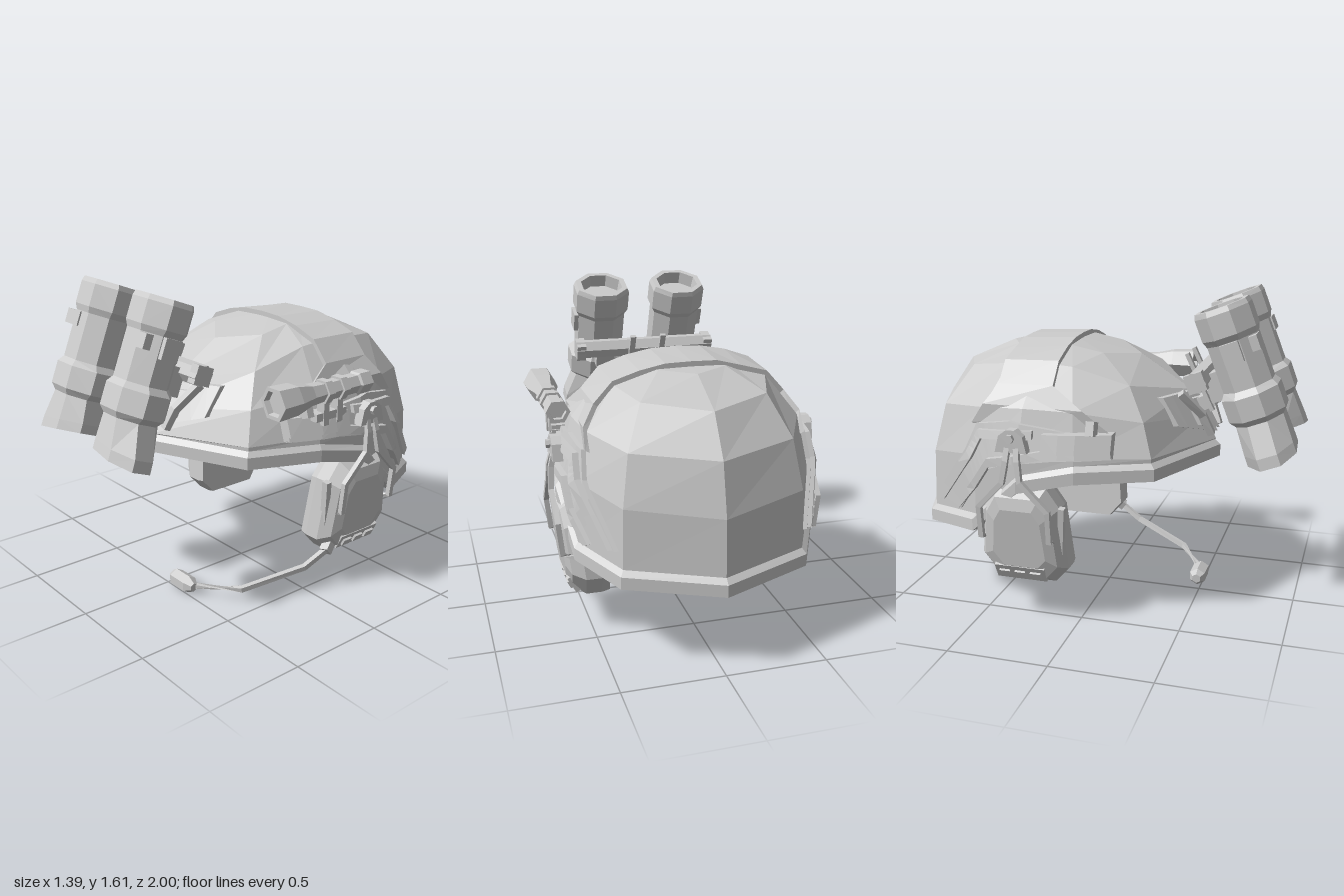
import * as THREE from 'three';

const V = (x, y, z) => new THREE.Vector3(x, y, z);
const mat = new THREE.MeshStandardMaterial({ color: 0xcccccc, flatShading: true, side: THREE.DoubleSide });

// Closed solid through equal-length rings, capped at both ends and oriented outward
function loft(rings) {
  const tris = [], n = rings[0].length;
  const mid = r => r.reduce((s, p) => s.add(p), V(0, 0, 0)).divideScalar(n);
  const first = rings[0], last = rings[rings.length - 1], c0 = mid(first), c1 = mid(last);
  for (let j = 0; j < n; j++) {
    const k = (j + 1) % n;
    tris.push([c0, first[k], first[j]], [c1, last[j], last[k]]);
    for (let i = 0; i + 1 < rings.length; i++) {
      const a = rings[i], b = rings[i + 1];
      tris.push([a[j], a[k], b[k]], [a[j], b[k], b[j]]);
    }
  }
  const volume = tris.reduce((s, [a, b, c]) => s + a.dot(b.clone().cross(c)), 0);
  if (volume < 0) tris.forEach(t => t.reverse());
  const g = new THREE.BufferGeometry().setFromPoints(tris.flat());
  g.computeVertexNormals();
  return g;
}

// Mirror across the plane x = cx with the winding kept outward
function flip(geo, cx) {
  const src = geo.index ? geo.toNonIndexed() : geo, p = src.attributes.position, pts = [];
  for (let i = 0; i < p.count; i += 3)
    for (const k of [0, 2, 1]) pts.push(V(2 * cx - p.getX(i + k), p.getY(i + k), p.getZ(i + k)));
  const g = new THREE.BufferGeometry().setFromPoints(pts);
  g.computeVertexNormals();
  return g;
}

// Faceted prism along y from rows of [y, rx, rz, x offset, slant across x]
const prism = (rows, n = 8) => loft(rows.map(([y, rx, rz = rx, xo = 0, slant = 0]) =>
  Array.from({ length: n }, (_, i) => {
    const a = (i + 0.5) / n * Math.PI * 2, x = Math.sin(a) * rx + xo;
    return V(x, y - slant * x, Math.cos(a) * rz);
  })));

// Square rod along a polyline
function rod(pts, r) {
  return loft(pts.map((p, i) => {
    const t = pts[Math.min(i + 1, pts.length - 1)].clone().sub(pts[Math.max(i - 1, 0)]).normalize();
    const u = t.clone().cross(Math.abs(t.x) > 0.8 ? V(0, 1, 0) : V(1, 0, 0)).normalize(), w = t.clone().cross(u);
    return [[1, 1], [-1, 1], [-1, -1], [1, -1]].map(([a, b]) =>
      p.clone().addScaledVector(u, a * r).addScaledVector(w, b * r));
  }));
}

const box = (w, h, d, x, y, z, rx = 0, rz = 0) =>
  new THREE.BoxGeometry(w, h, d).rotateX(rx).rotateZ(rz).translate(x, y, z);

// Hollow helmet: rim outline columns [x, y, z] swept through front/side/back profiles
function shellGeometry() {
  const half = [[0, .76, .59], [.48, .75, .36], [.61, .74, 0], [.645, .68, -.28], [.605, .45, -.53], [.45, .42, -.83], [0, .4, -1]];
  const cols = [...half, ...half.slice(1, 6).reverse().map(([x, y, z]) => [-x, y, z])];
  const rim = (k, dy) => cols.map(([x, y, z]) => V(x * k, y + dy, -.2 + (z + .2) * k));
  // scale and height at the front, side and back of each ring
  const rows = [
    [.97, .85, .96, .86, .95, .76], [.885, .97, .86, 1.08, .875, 1.01],
    [.8, 1.1, .6, 1.275, .71, 1.2], [.47, 1.27, .3, 1.335, .4, 1.31]];
  const ring = ([fk, fy, sk, sy, bk, by]) => cols.map(([x, , z]) => {
    const dz = z + .2, w = dz * dz / (x * x + dz * dz);
    const k = sk + ((dz > 0 ? fk : bk) - sk) * w, y = sy + ((dz > 0 ? fy : by) - sy) * w;
    return V(x * k, y, -.2 + dz * k);
  });
  const apex = y => cols.map(() => V(0, y, -.2));
  return loft([apex(1.02), rim(.94, 0), rim(1, 0), rim(1, .06), rim(.965, .085), ...rows.map(ring), apex(1.35)]);
}

export function createModel() {
  const model = new THREE.Group();
  const add = (name, geo) => {
    const m = new THREE.Mesh(geo, mat);
    m.name = name;
    model.add(m);
    return m;
  };
  const pair = (name, geo, cx = 0) => { add(name + 'Left', geo); add(name + 'Right', flip(geo, cx)); };

  const shell = add('helmetShell', shellGeometry());

  // Raised strip lying on the shell; rows are [edge A origin, edge B origin, direction]
  const hit = (o, d) => {
    const h = new THREE.Raycaster(o, d).intersectObject(shell);
    return h.length ? h[h.length - 1].point : o.clone().addScaledVector(d, .6);
  };
  const strip = (rows, h) => loft(rows.map(([a, b, d]) => {
    const p = hit(a, d), q = hit(b, d);
    return [p.clone().addScaledVector(d, -.02), q.clone().addScaledVector(d, -.02),
      q.clone().addScaledVector(d, h), p.clone().addScaledVector(d, h)];
  }));
  // Side strip from rows of [top z, top y, bottom y, bottom z], subdivided to follow the facets
  const sideStrip = (rows, h) => {
    const out = [];
    rows.forEach((r, i) => {
      const s = rows[i + 1];
      for (let t = 0; t < (s ? 1 : .1); t += .25) {
        const m = k => r[k] + (s ? (s[k] - r[k]) * t : 0);
        out.push([V(0, m(1), m(0)), V(0, m(2), m(3)), V(1, 0, 0)]);
      }
    });
    return strip(out, h);
  };

  // Crown band flaring toward the sides
  const band = [];
  for (const deg of [-66, -58, -48, -36, -24, -12, 0, 12, 24, 36, 48, 58, 66]) {
    const a = deg * Math.PI / 180, e = Math.abs(deg);
    const f = e > 60 ? .15 : e > 50 ? .02 : -.14, b = e > 60 ? -.54 : e > 50 ? -.48 : -.42;
    band.push([V(0, .75, f), V(0, .75, b), V(Math.sin(a), Math.cos(a), 0)]);
  }
  add('crownBand', strip(band, .025));

  // Side panels and the rails on them
  pair('sidePanel', sideStrip([[.17, .93, .86, .17], [-.1, .99, .85, -.1], [-.33, 1.02, .82, -.33],
    [-.51, .99, .78, -.44], [-.57, .86, .67, -.52], [-.78, .585, .545, -.61]], .022));
  pair('lowerRail', sideStrip([[.17, .91, .87, .17], [-.15, .9, .86, -.15], [-.43, .84, .8, -.42],
    [-.52, .71, .68, -.5], [-.64, .57, .555, -.61]], .045));
  pair('upperRail', sideStrip([[-.2, .99, .95, -.2], [-.49, .97, .93, -.47], [-.55, .86, .83, -.52],
    [-.77, .59, .57, -.72]], .045));
  pair('railBlock', sideStrip([[.17, .98, .89, .17], [-.15, .98, .89, -.15]], .06));
  pair('railTab', box(.07, .07, .04, .57, 1.01, .08, 0, .3));

  // Ear cups
  const outline = [[-.145, .7], [-.41, .7], [-.47, .6], [-.5, .32], [-.41, .2], [-.12, .2], [-.05, .28], [-.08, .6]];
  pair('earCup', loft([[0, .97], [.04, 1], [.12, 1], [.18, .83], [.2, .6]].map(([x, s]) =>
    outline.map(([z, y]) => {
      const yy = .44 + (y - .44) * s;
      return V(.41 + .12 * (yy - .2) + x, yy, -.28 + (z + .28) * s);
    }))));
  pair('earCupSlot', box(.035, .26, .03, .57, .48, -.077, .08, -.12));
  pair('earCupBand', box(.05, .09, .26, .58, .265, -.28, 0, -.5));
  for (const z of [-.2, -.28, -.36]) pair('earCupButton', box(.06, .04, .055, .585, .26, z, 0, -.5));

  // Hinged arms holding the cups
  const plate = new THREE.Shape([[-.21, .89], [-.37, .89], [-.35, .97], [-.31, 1], [-.27, 1], [-.23, .97]]
    .map(([z, y]) => new THREE.Vector2(-z, y)));
  pair('armPivot', new THREE.ExtrudeGeometry(plate, { depth: .05, bevelEnabled: false })
    .rotateY(Math.PI / 2).translate(.615, 0, 0));
  pair('pivotScrew', new THREE.CylinderGeometry(.022, .022, .03, 6).rotateZ(Math.PI / 2).translate(.67, .96, -.29));
  pair('frontArm', rod([V(.65, .92, -.265), V(.668, .85, -.257), V(.675, .75, -.245), V(.668, .61, -.11),
    V(.65, .45, -.11), V(.59, .43, -.11)], .013));
  pair('rearArm', rod([V(.65, .92, -.31), V(.668, .85, -.315), V(.675, .74, -.335), V(.668, .61, -.46),
    V(.65, .45, -.46), V(.59, .43, -.46)], .013));

  // Boom microphone on the left cup
  add('boomSocket', rod([V(.55, .27, -.15), V(.575, .215, -.08)], .024));
  add('boom', rod([V(.575, .23, -.1), V(.54, .15, .03), V(.4, .07, .33), V(.18, .045, .47)], .013));
  add('microphone', prism([[0, .025], [.03, .046], [.14, .046], [.18, .022]], 6)
    .rotateZ(-Math.PI / 2).translate(.02, .047, .48));

  // Flashlight and its mount on the left rail
  add('flashlight', prism([[.03, .06], [0, .065], [0, .085], [.12, .08], [.22, .055], [.3, .05], [.3, .062],
    [.34, .062], [.34, .05], [.4, .05], [.4, .062], [.44, .062], [.44, .05], [.52, .05], [.53, .06], [.6, .06],
    [.6, .04], [.57, .04]], 6).rotateX(-Math.PI / 2).translate(.617, 1.105, .325));
  for (const z of [0, -.09]) add('flashlightClamp', box(.05, .15, .035, .61, 1.01, z));
  add('flashlightMount', box(.07, .04, .2, .595, .98, -.04));

  // Binocular tubes with recessed lenses and slanted eyepieces
  const tilt = -.375, cx = -.015;
  const place = g => g.rotateX(tilt).translate(.204, .87, .885);
  pair('binocularTube', place(prism([[.04, .13, .09, .02, .15], [0, .15, .105, .02, .15], [0, .182, .13, .016, .15],
    [.05, .18, .13, .014, .12], [.18, .141, .127], [.21, .176, .15], [.32, .176, .15], [.35, .141, .13], [.58, .141, .13],
    [.61, .159, .143], [.72, .159, .143], [.745, .148, .136], [.745, .118, .108], [.68, .11, .1]])), cx);
  pair('tubeKnob', place(box(.05, .1, .09, .13, .53, 0)), cx);
  pair('tubePad', place(box(.11, .07, .04, .06, .54, .108)), cx);

  // Cross bar and bracket
  add('crossBar', new THREE.CylinderGeometry(.052, .052, .78, 6).rotateZ(Math.PI / 2).translate(cx, 1.22, .53));
  pair('barCap', box(.05, .09, .09, .35, 1.22, .53, tilt), cx);
  pair('barToTube', box(.1, .14, .14, .2, 1.19, .63, tilt), cx);
  pair('bracketArm', box(.03, .31, .02, .07, 1.16, .495, -.45), cx);
  add('bracketPlate', box(.16, .1, .03, cx, 1.18, .51, -.45));
  add('bracketHinge', box(.1, .07, .08, cx, 1.05, .52, -.45));

  // Forehead shroud wrapping the shell
  const shroud = (xs, lo, hi, h) => strip(xs.map(x =>
    [V(x, lo + Math.abs(x) * .3, 0), V(x, hi, 0), V(0, 0, 1)]), h);
  add('shroud', shroud([-.24, -.18, -.1, 0, .1, .18, .24], .89, 1.1, .03));
  add('shroudPlate', shroud([-.11, 0, .11], .91, 1.07, .05));
  pair('shroudRib', rod([V(.1, .9, .56), V(.13, 1, .52), V(.2, 1.12, .42)], .018));

  return model;
}
